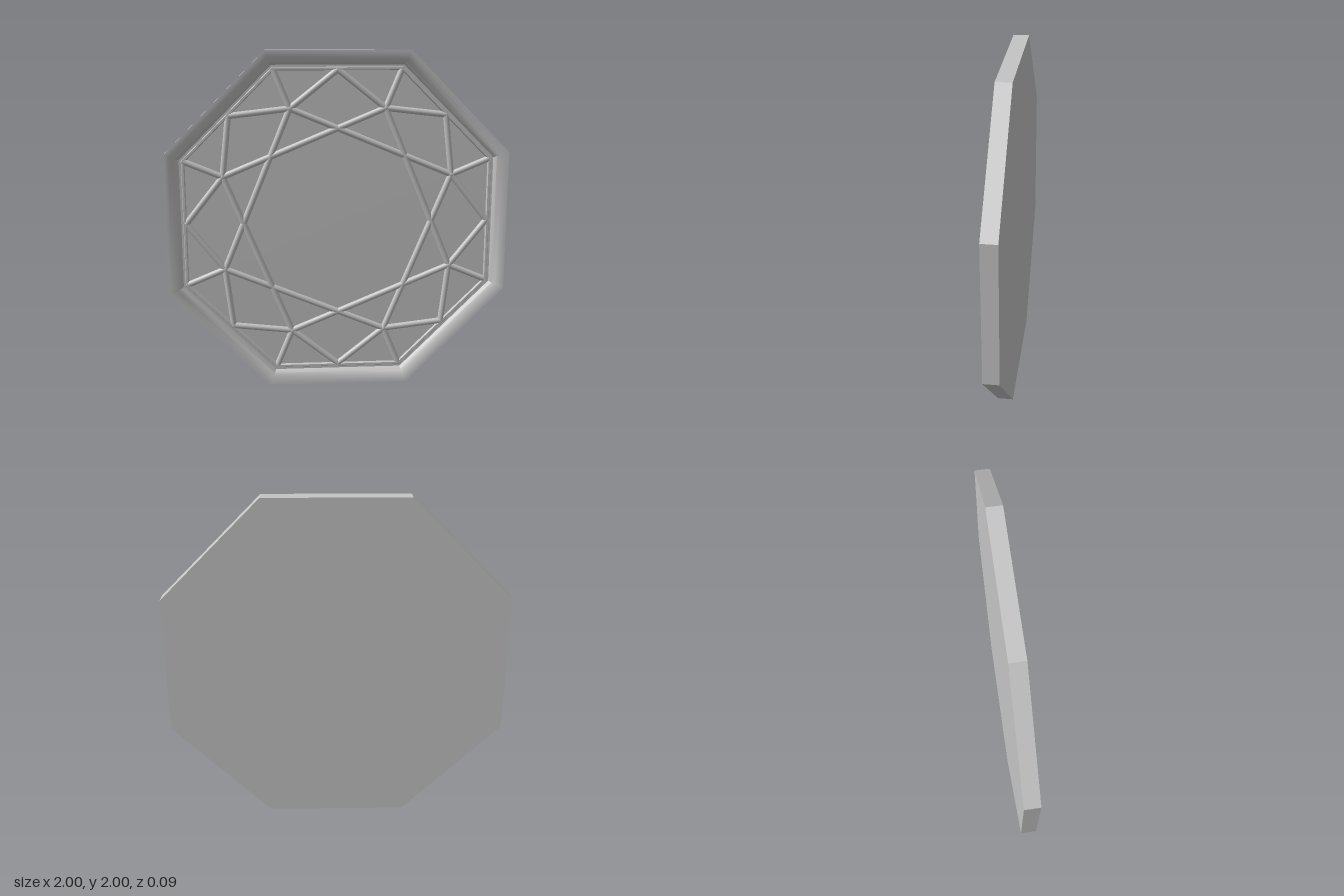
import * as THREE from 'three';
import { toCreasedNormals } from 'three/addons/utils/BufferGeometryUtils.js';

const SIDES = 8;
const STEP = Math.PI / 4;
const HALF = Math.PI / 8;
const FLOOR_Z = -0.008;
const toCorner = (apothem) => apothem / Math.cos(HALF);
const polar = (r, a) => new THREE.Vector2(r * Math.cos(a), r * Math.sin(a));

export function createModel() {
  const stone = new THREE.MeshStandardMaterial({ color: 0xc4c4c4 });
  stone.name = 'grey';
  const model = new THREE.Group();
  model.name = 'octagonalPlaque';
  const body = new THREE.Group();
  body.position.y = 1;
  model.add(body);

  const add = (geometry, name, parent = body) => {
    const mesh = new THREE.Mesh(geometry, stone);
    mesh.name = name;
    parent.add(mesh);
    return mesh;
  };

  // Frame: flat back, straight wall, rounded rim and a small inner step (apothem, z)
  const profile = [
    [0, -0.045], [1, -0.045], [1, 0.045], [0.985, 0.0445], [0.968, 0.041],
    [0.95, 0.034], [0.933, 0.023], [0.92, 0.01], [0.917, 0.002],
    [0.905, 0.002], [0.902, 0.006], [0.89, 0.006], [0.885, FLOOR_Z],
  ].map(([a, z]) => new THREE.Vector2(toCorner(a), z));
  const frame = new THREE.LatheGeometry(profile, SIDES, HALF);
  frame.rotateX(Math.PI / 2);
  add(toCreasedNormals(frame, 0.5), 'frame');

  // Recessed floor
  add(new THREE.CircleGeometry(toCorner(0.887), SIDES, HALF), 'floorPanel').position.z = FLOOR_Z;

  // Raised lattice of rounded ribs
  const lattice = new THREE.Group();
  lattice.name = 'lattice';
  lattice.position.z = FLOOR_Z;
  body.add(lattice);
  const rib = (from, to, name) => {
    const span = to.clone().sub(from);
    // half-round section, open underneath
    const geometry = new THREE.CylinderGeometry(0.018, 0.018, span.length(), 8, 1, true, -Math.PI / 2, Math.PI);
    const mesh = add(geometry, name, lattice);
    mesh.position.set((from.x + to.x) / 2, (from.y + to.y) / 2, 0);
    mesh.rotation.z = Math.atan2(span.y, span.x) - Math.PI / 2;
  };

  const NODE = 0.725;
  for (let i = 0; i < SIDES; i++) {
    const angle = HALF + i * STEP;
    const node = polar(NODE, angle);
    // Sides of the two crossed squares
    rib(node, polar(NODE, angle + 2 * STEP), 'starRib');
    // Fan to the frame corner and the two neighbouring edge middles
    rib(node, polar(toCorner(0.89), angle), 'cornerRib');
    rib(node, polar(0.89, angle - HALF), 'edgeRib');
    rib(node, polar(0.89, angle + HALF), 'edgeRib');
    // Rounded joint
    const joint = add(new THREE.SphereGeometry(0.024, 12, 8), 'joint', lattice);
    joint.position.set(node.x, node.y, 0);
    joint.scale.z = 0.85;
  }
  return model;
}
